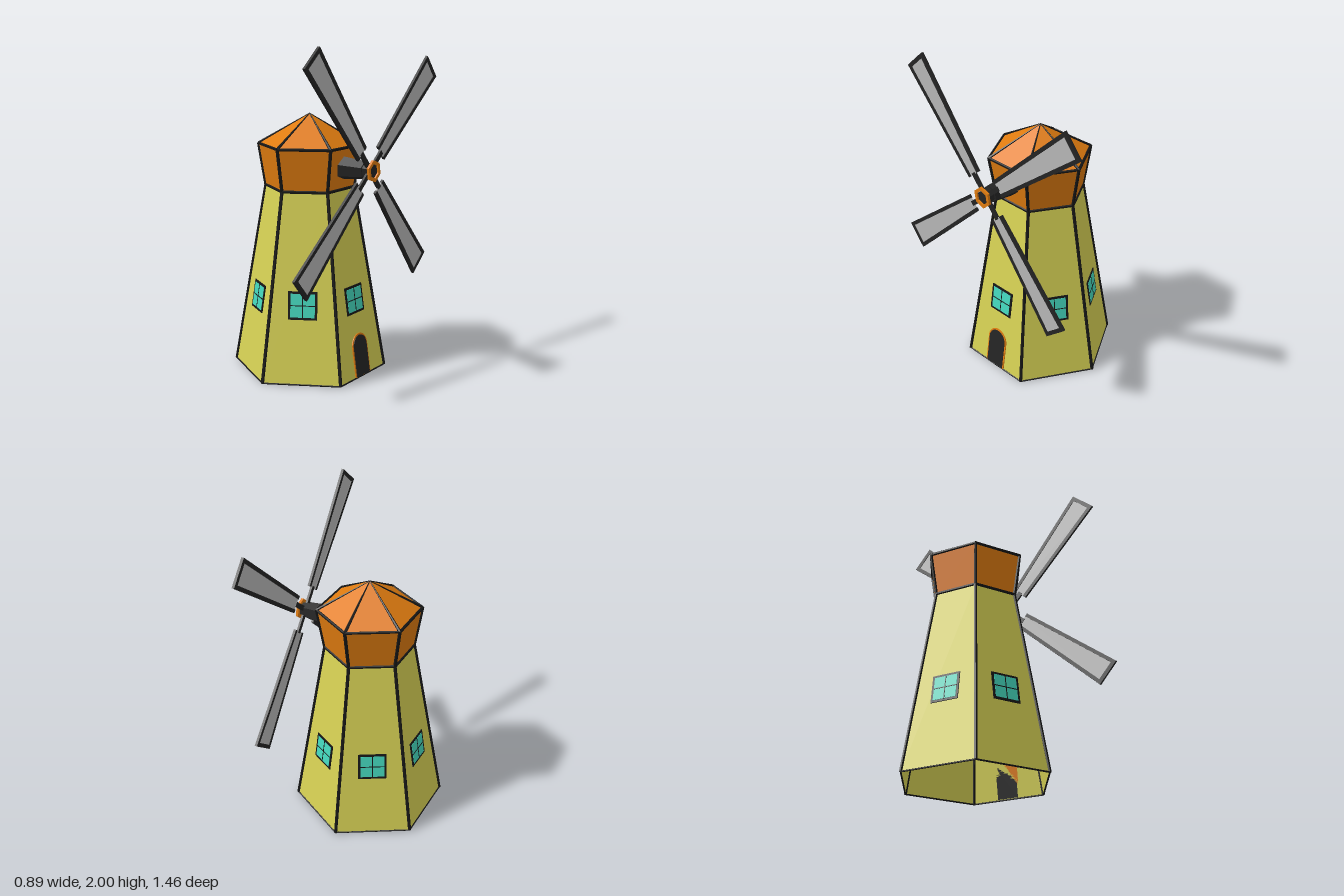
import * as THREE from 'three';

const mat = (name, color, side = THREE.FrontSide) =>
  Object.assign(new THREE.MeshStandardMaterial({ color, flatShading: true, side }), { name });

export function createModel() {
  const yellow = mat('wallYellow', 0xd6d154, THREE.DoubleSide);
  const orange = mat('roofOrange', 0xe07c10, THREE.DoubleSide);
  const ink = mat('edgeBlack', 0x161616);
  const charcoal = mat('charcoal', 0x242424);
  const teal = mat('glassTeal', 0x44d6bc);
  const grey = mat('sailGrey', 0xb8b8b8);

  const model = new THREE.Group();
  model.name = 'windmill';
  const add = (parent, name, geometry, material, x = 0, y = 0, z = 0) => {
    const mesh = new THREE.Mesh(geometry, material);
    mesh.name = name;
    mesh.position.set(x, y, z);
    parent.add(mesh);
    return mesh;
  };
  const group = (parent, name) => {
    const g = new THREE.Group();
    g.name = name;
    parent.add(g);
    return g;
  };
  const extrude = (shape, depth) =>
    new THREE.ExtrudeGeometry(shape, { depth, bevelEnabled: false, curveSegments: 10 });
  const polygon = (pts) => new THREE.Shape(pts.map(([x, y]) => new THREE.Vector2(x, y)));

  // Six-sided tower and cap, open underneath
  const BASE = 0.468, WAIST = 0.27, EAVE = 0.312;
  const Y1 = 1.135, Y2 = 1.39, Y3 = 1.575;
  const tower = group(model, 'tower');
  tower.position.x = -0.035;
  const ring = (name, rTop, rBottom, y0, y1, material) =>
    add(tower, name, new THREE.CylinderGeometry(rTop, rBottom, y1 - y0, 6, 1, true), material, 0, (y0 + y1) / 2);
  ring('towerWall', WAIST, BASE, 0, Y1, yellow);
  ring('capWall', EAVE, WAIST, Y1, Y2, orange);
  ring('capRoof', 0, EAVE, Y2, Y3, orange);

  // Dark strips along every edge
  const corner = (i, r, y) => {
    const a = i * Math.PI / 3;
    return new THREE.Vector3(Math.sin(a) * r, y, Math.cos(a) * r);
  };
  const strip = (a, b, ra, rb = ra) => {
    const d = b.clone().sub(a);
    const m = add(tower, 'edgeStrip', new THREE.CylinderGeometry(rb, ra, d.length(), 6), ink);
    m.position.copy(a).add(b).multiplyScalar(0.5);
    m.quaternion.setFromUnitVectors(new THREE.Vector3(0, 1, 0), d.normalize());
  };
  for (let i = 0; i < 6; i++) {
    strip(corner(i, BASE, 0.005), corner(i, WAIST, Y1), 0.01);
    strip(corner(i, WAIST, Y1), corner(i, EAVE, Y2), 0.01);
    strip(corner(i, EAVE, Y2), corner(i, 0, Y3), 0.01, 0.003);
    strip(corner(i, BASE, 0.005), corner(i + 1, BASE, 0.005), 0.005);
    strip(corner(i, WAIST, Y1), corner(i + 1, WAIST, Y1), 0.01);
    strip(corner(i, EAVE, Y2), corner(i + 1, EAVE, Y2), 0.009);
  }

  // Group lying on one sloping wall: local y runs up the wall, z points outward
  const apothem = BASE * Math.cos(Math.PI / 6);
  const tilt = Math.atan2((BASE - WAIST) * Math.cos(Math.PI / 6), Y1);
  const onWall = (name, i) => {
    const turn = group(tower, name);
    turn.rotation.y = i * Math.PI / 3;
    const face = group(turn, name + 'Face');
    face.position.x = apothem;
    face.rotation.set(-tilt, Math.PI / 2, 0, 'YXZ');
    return face;
  };

  // One window on each wall
  for (let i = 0; i < 6; i++) {
    const w = onWall('window', i);
    const y = 0.473 / Math.cos(tilt);
    add(w, 'windowFrame', new THREE.BoxGeometry(0.174, 0.169, 0.009), ink, 0, y, 0.001);
    add(w, 'windowGlass', new THREE.BoxGeometry(0.146, 0.141, 0.009), teal, 0, y, 0.003);
    add(w, 'windowBar', new THREE.BoxGeometry(0.005, 0.145, 0.009), ink, 0, y, 0.005);
    add(w, 'windowBar', new THREE.BoxGeometry(0.15, 0.005, 0.009), ink, 0, y, 0.005);
  }

  // Arched door
  const arch = (half, top, bottom) => {
    const s = new THREE.Shape();
    s.moveTo(-half, bottom);
    s.lineTo(half, bottom);
    s.lineTo(half, top - half);
    s.absarc(0, top - half, half, 0, Math.PI);
    s.closePath();
    return s;
  };
  const door = onWall('door', 0);
  add(door, 'doorFrame', extrude(arch(0.077, 0.268, 0.01), 0.006), orange);
  add(door, 'doorPanel', extrude(arch(0.067, 0.258, 0.012), 0.009), charcoal);

  // Axle and hub: local z points out along the axle
  const rotor = group(model, 'rotor');
  rotor.position.y = 1.27;
  rotor.rotation.y = Math.PI / 2;
  const spin = group(rotor, 'rotorSpin');
  spin.rotation.z = THREE.MathUtils.degToRad(40.2);
  const axle = (name, rFront, rBack, z0, z1) => {
    const g = new THREE.CylinderGeometry(rFront, rBack, z1 - z0, 6);
    g.rotateY(Math.PI / 6).rotateX(Math.PI / 2);
    g.rotateZ(0);
    add(spin, name, g, charcoal, 0, 0, (z0 + z1) / 2);
  };
  axle('axle', 0.055, 0.076, 0.17, 0.375);
  axle('axleNeck', 0.042, 0.046, 0.375, 0.428);
  const hex = (r) => Array.from({ length: 6 }, (_, i) =>
    [r * Math.cos(i * Math.PI / 3), r * Math.sin(i * Math.PI / 3)]);
  const hubShape = polygon(hex(0.066));
  hubShape.holes.push(polygon(hex(0.044)));
  add(spin, 'hubRing', extrude(hubShape, 0.015), orange, 0, 0, 0.422);

  // Four tapered sails with a dark rim around a thin grey panel
  const rim = polygon([[0.14, -0.054], [0.88, -0.0865], [0.88, 0.0865], [0.14, 0.054],
    [0.14, 0.032], [0.856, 0.062], [0.856, -0.062], [0.14, -0.032]]);
  const panel = polygon([[0.14, -0.032], [0.856, -0.062], [0.856, 0.062], [0.14, 0.032]]);
  const rimGeometry = extrude(rim, 0.016);
  const panelGeometry = extrude(panel, 0.008);
  for (let i = 0; i < 4; i++) {
    const sail = group(spin, 'sail');
    sail.rotation.z = i * Math.PI / 2;
    add(sail, 'sailRim', rimGeometry, charcoal, 0, 0, 0.397);
    add(sail, 'sailPanel', panelGeometry, grey, 0, 0, 0.401);
    add(sail, 'sailSpar', new THREE.BoxGeometry(0.15, 0.03, 0.014), charcoal, 0.075, 0, 0.405);
  }
  return model;
}
